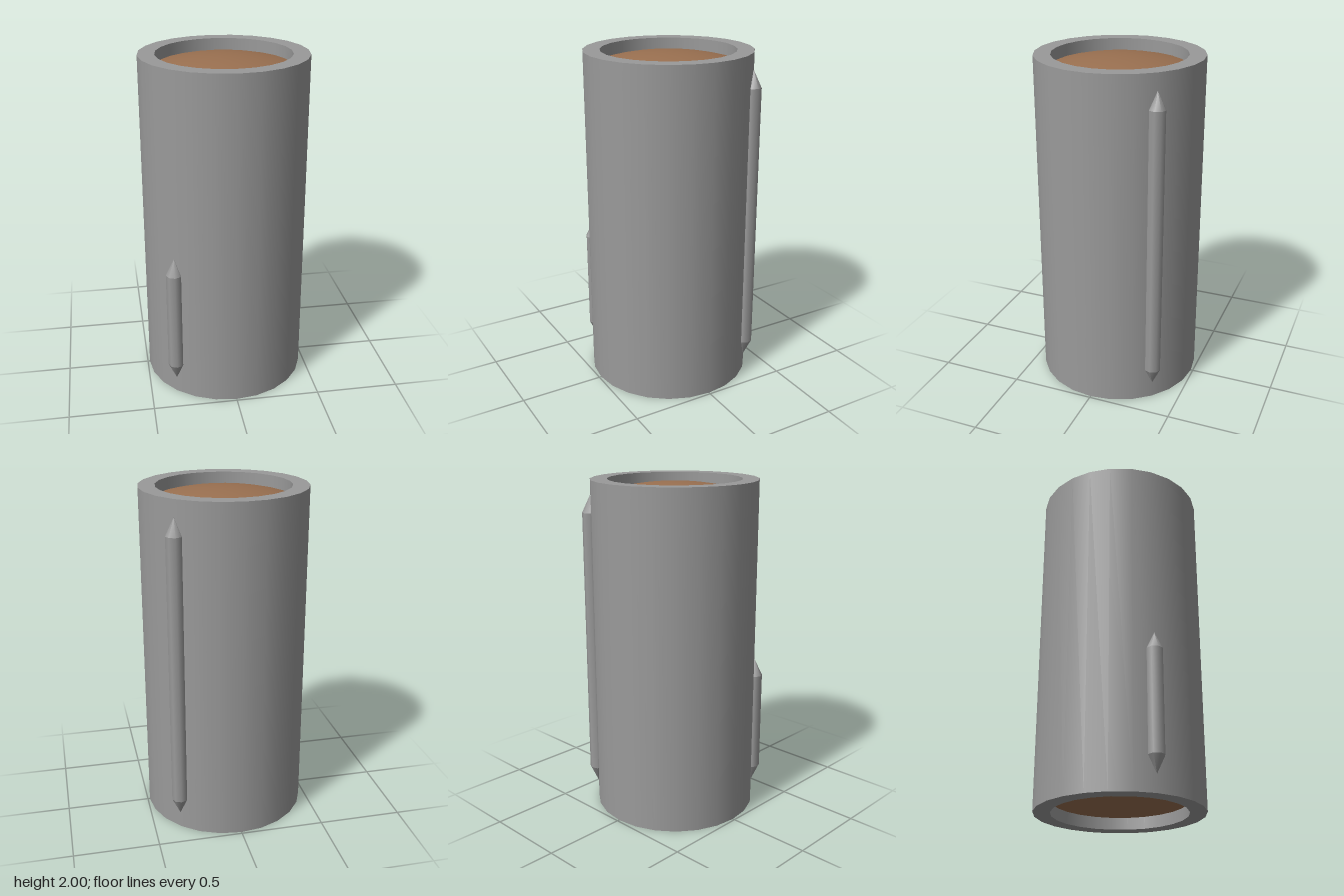
import * as THREE from 'three';
import { mergeGeometries } from 'three/addons/utils/BufferGeometryUtils.js';

const SIDES = 24;

// Surface of revolution whose profile keeps a sharp edge at each corner
function sharpLathe(points, sides) {
  const bands = [];
  for (let i = 0; i < points.length - 1; i++) {
    const pair = [points[i], points[i + 1]].map(([r, y]) => new THREE.Vector2(r, y));
    bands.push(new THREE.LatheGeometry(pair, sides));
  }
  return mergeGeometries(bands);
}

export function createModel() {
  const model = new THREE.Group();
  const grey = new THREE.MeshStandardMaterial({ name: 'grey shell', color: 0x9a9a9a });
  const brown = new THREE.MeshStandardMaterial({ name: 'brown core', color: 0x9a7050 });

  const add = (name, geometry, material, x = 0, z = 0) => {
    const mesh = new THREE.Mesh(geometry, material);
    mesh.name = name;
    mesh.position.set(x, 0, z);
    model.add(mesh);
  };

  // Thick-walled tube, open at both ends
  const outer = 0.487, bore = 0.39;
  add('tube', sharpLathe([[outer, 0], [outer, 2], [bore, 2], [bore, 0], [outer, 0]], SIDES), grey);

  // Core filling the bore, its domed ends set just below the rims
  const coreR = 0.391, edge = 0.072, rise = 0.052;
  const dome = [];
  for (let i = 0; i <= 8; i++) {
    const t = i / 8;
    dome.push(new THREE.Vector2(coreR * (1 - t), 2 - edge + rise * (1 - (1 - t) ** 2)));
  }
  const topDome = new THREE.LatheGeometry(dome, SIDES);
  const bottomDome = topDome.clone().rotateX(Math.PI).translate(0, 2, 0);
  const coreWall = new THREE.CylinderGeometry(coreR, coreR, 2 - 2 * edge, SIDES, 1, true).translate(0, 1, 0);
  add('core', mergeGeometries([topDome, bottomDome, coreWall]), brown);

  // Pointed ribs on opposite sides of the tube
  const ribR = 0.048, tip = 0.1, offset = 0.346;
  const rib = (low, high) =>
    sharpLathe([[0, low], [ribR, low + tip], [ribR, high - tip], [0, high]], 8);
  add('longRib', rib(0.1, 1.905), grey, offset, -offset);
  add('shortRib', rib(0.1, 0.905), grey, -offset, offset);

  return model;
}
